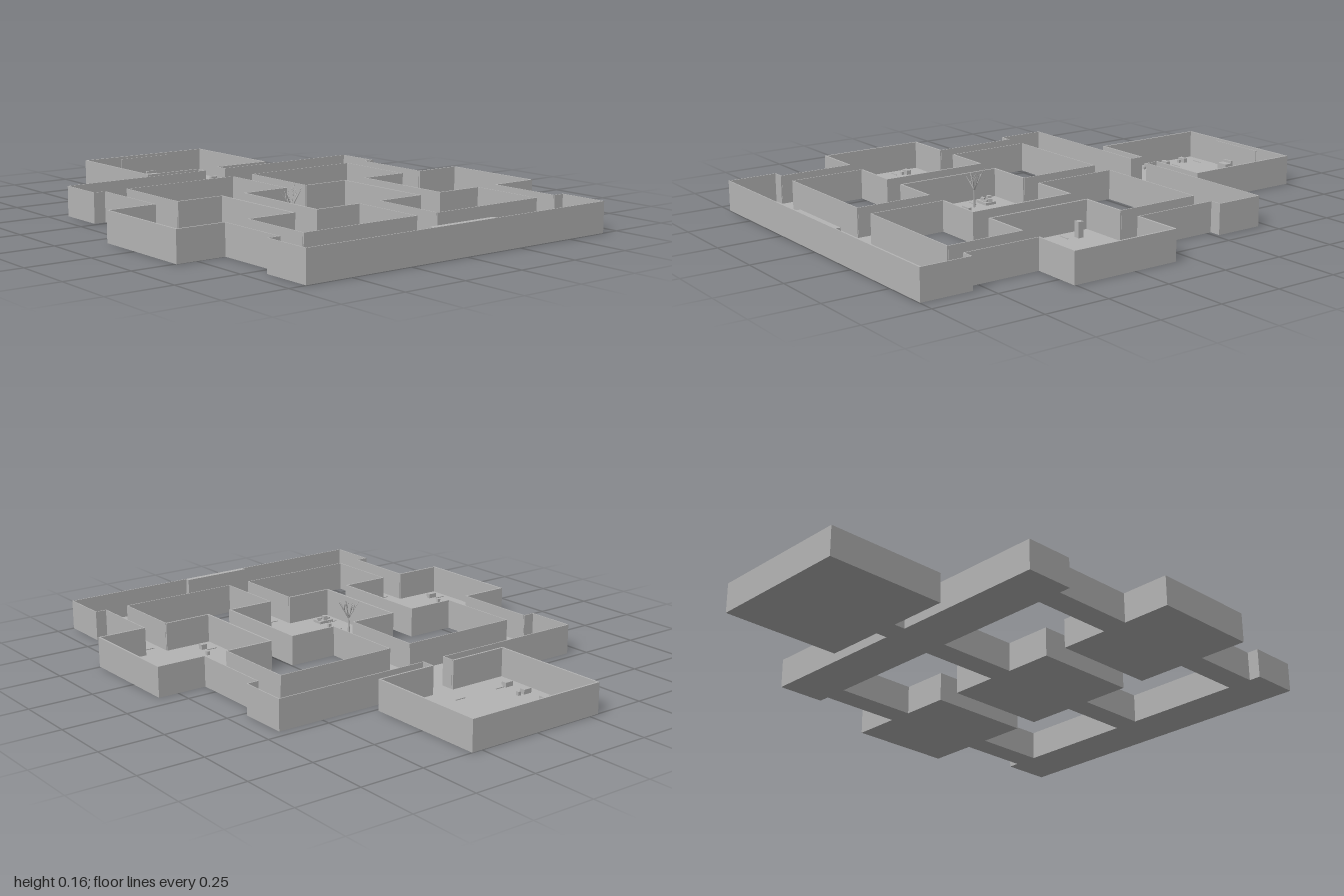
import * as THREE from 'three';

const stone = new THREE.MeshStandardMaterial({ color: 0xb4b4b4 });
stone.name = 'grey stone';

const H = 0.117;      // wall height
const FLOOR = 0.006;  // slab thickness
const DOOR = 0.047;   // half width of a passage

export function createModel() {
  const model = new THREE.Group();
  model.name = 'dungeon';

  function box(parent, name, x0, x1, y0, y1, z0, z1) {
    const mesh = new THREE.Mesh(new THREE.BoxGeometry(x1 - x0, y1 - y0, z1 - z0), stone);
    mesh.position.set((x0 + x1) / 2, (y0 + y1) / 2, (z0 + z1) / 2);
    mesh.name = name;
    parent.add(mesh);
    return mesh;
  }

  // Small block standing on the floor
  function prop(parent, name, x, z, w, d, h) {
    return box(parent, name, x - w / 2, x + w / 2, FLOOR, FLOOR + h, z - d / 2, z + d / 2);
  }

  // Wall running along x, left open at each passage
  function crossWall(parent, x0, x1, z0, z1, doors) {
    let start = x0;
    for (const d of doors) {
      box(parent, 'wall', start, d - DOOR, 0, H, z0, z1);
      start = d + DOOR;
    }
    box(parent, 'wall', start, x1, 0, H, z0, z1);
  }

  function chamber(name, x0, x1, z0, z1, t, backDoors, frontDoors) {
    const g = new THREE.Group();
    g.name = name;
    box(g, 'floor', x0, x1, 0, FLOOR, z0, z1);
    box(g, 'sideWall', x0, x0 + t, 0, H, z0, z1);
    box(g, 'sideWall', x1 - t, x1, 0, H, z0, z1);
    crossWall(g, x0, x1, z0, z0 + t, backDoors);
    crossWall(g, x0, x1, z1 - t, z1, frontDoors);
    model.add(g);
    return g;
  }

  function passage(x, z0, z1) {
    const g = new THREE.Group();
    g.name = 'passage';
    box(g, 'floor', x - 0.05, x + 0.05, 0, FLOOR, z0, z1);
    for (const s of [-1, 1]) {
      const wx = x + s * 0.048;
      box(g, 'wall', wx - 0.002, wx + 0.002, 0, H, z0, z1);
    }
    model.add(g);
    return g;
  }

  // Narrow strip lying across the floor
  const strip = (parent, x, z) => prop(parent, 'floorStrip', x, z, 0.045, 0.004, 0.003);

  // Halls and rooms
  const columns = [-0.585, 0, 0.585];
  const frontHall = chamber('frontHall', -0.682, 0.68, 0.8, 0.998, 0.004, columns, []);
  chamber('backHall', -0.682, 0.68, -0.463, -0.268, 0.004, [0], columns);
  const throneRoom = chamber('throneRoom', -0.292, 0.292, -1, -0.51, 0.007, [], [0]);
  const rooms = columns.map((x, i) => chamber(
    ['rightRoom', 'middleRoom', 'leftRoom'][i], x - 0.245, x + 0.245, 0.07, 0.505, 0.007, [x], [x]));

  // Connecting passages
  passage(0, -0.51, -0.463);
  for (const x of columns) {
    const back = passage(x, -0.268, 0.07);
    const front = passage(x, 0.505, 0.8);
    for (const z of [-0.225, -0.175, 0.02]) strip(back, x, z);
    for (const z of [0.555, 0.652, 0.75]) strip(front, x, z);
  }

  // Main gate, back panel and supplies
  box(frontHall, 'gate', -0.148, 0.142, 0, H, 0.975, 0.995);
  prop(frontHall, 'crate', -0.49, 0.92, 0.022, 0.022, 0.025);
  prop(frontHall, 'smallCrate', -0.438, 0.92, 0.012, 0.012, 0.012);
  box(throneRoom, 'backPanel', -0.12, 0.12, FLOOR, H - 0.01, -0.995, -0.989);

  // Seat with a low back and a stool before it
  function seat(parent, x, z) {
    const g = new THREE.Group();
    g.name = 'seat';
    prop(g, 'bench', x, z, 0.035, 0.018, 0.018);
    prop(g, 'stool', x, z + 0.021, 0.012, 0.01, 0.012);
    parent.add(g);
  }

  // Throne room furniture
  prop(throneRoom, 'throne', 0, -0.93, 0.048, 0.035, 0.035);
  prop(throneRoom, 'throneBack', 0, -0.947, 0.048, 0.008, 0.045);
  for (const s of [-1, 1]) {
    for (const z of [-0.9, -0.803, -0.705, -0.61]) seat(throneRoom, s * 0.23, z);
    prop(throneRoom, 'pot', s * 0.193, -0.705, 0.012, 0.012, 0.015);
  }
  for (const x of [-0.195, 0, 0.195]) {
    for (const z of [-0.95, -0.83, -0.61]) strip(throneRoom, x, z);
  }

  // Furniture shared by the three rooms
  rooms.forEach((room, i) => {
    const x = columns[i];
    prop(room, 'doorStone', x, 0.14, 0.012, 0.012, 0.012);
    for (const s of [-1, 1]) {
      prop(room, 'pot', x + s * 0.145, 0.36, 0.012, 0.012, 0.015);
      for (const z of [0.212, 0.41]) strip(room, x + s * 0.195, z);
      for (const z of [0.165, 0.435]) {
        const px = x + s * 0.17;
        if (i === 0) seat(room, px, z);
        if (i === 2) prop(room, 'pillar', px, z, 0.024, 0.022, s < 0 && z < 0.2 ? 0.06 : 0.02);
        if (i === 1) {
          // Planter heaped with broken stones
          prop(room, 'planter', px, z, 0.066, 0.048, 0.01);
          for (let k = 0; k < 5; k++) {
            const stonePiece = prop(room, 'rubble', px - 0.022 + k * 0.011,
              z + 0.012 * Math.sin(k * 2.4), 0.015, 0.015, 0.016 + 0.006 * (k % 3));
            stonePiece.rotation.y = k * 0.7;
          }
        }
      }
    }
  });
  prop(rooms[2], 'cornerCrate', 0.8, 0.14, 0.025, 0.022, 0.025);
  for (const x of [-0.125, 0.12]) prop(rooms[1], 'bench', x, 0.285, 0.045, 0.014, 0.015);

  // Bare tree in the middle room
  const tree = new THREE.Group();
  tree.name = 'bareTree';
  const up = new THREE.Vector3(0, 1, 0);
  function branch(name, a, b, r) {
    const from = new THREE.Vector3(...a), to = new THREE.Vector3(...b);
    const dir = to.clone().sub(from);
    const mesh = new THREE.Mesh(new THREE.CylinderGeometry(r * 0.35, r, dir.length(), 5), stone);
    mesh.name = name;
    mesh.position.copy(from).add(to).multiplyScalar(0.5);
    mesh.quaternion.setFromUnitVectors(up, dir.normalize());
    tree.add(mesh);
  }
  const fork = [-0.148, 0.075, 0.235];
  branch('trunk', [-0.15, FLOOR, 0.235], fork, 0.006);
  const tips = [
    [-0.19, 0.135, 0.225], [-0.18, 0.125, 0.25], [-0.115, 0.16, 0.21],
    [-0.105, 0.145, 0.24], [-0.125, 0.14, 0.26], [-0.145, 0.13, 0.205],
  ];
  for (const tip of tips) {
    branch('branch', fork, tip, 0.003);
    const mid = fork.map((v, i) => (v + tip[i]) / 2);
    branch('twig', mid, [mid[0] + 0.006, mid[1] + 0.03, mid[2] - 0.015], 0.002);
  }
  rooms[1].add(tree);

  return model;
}
